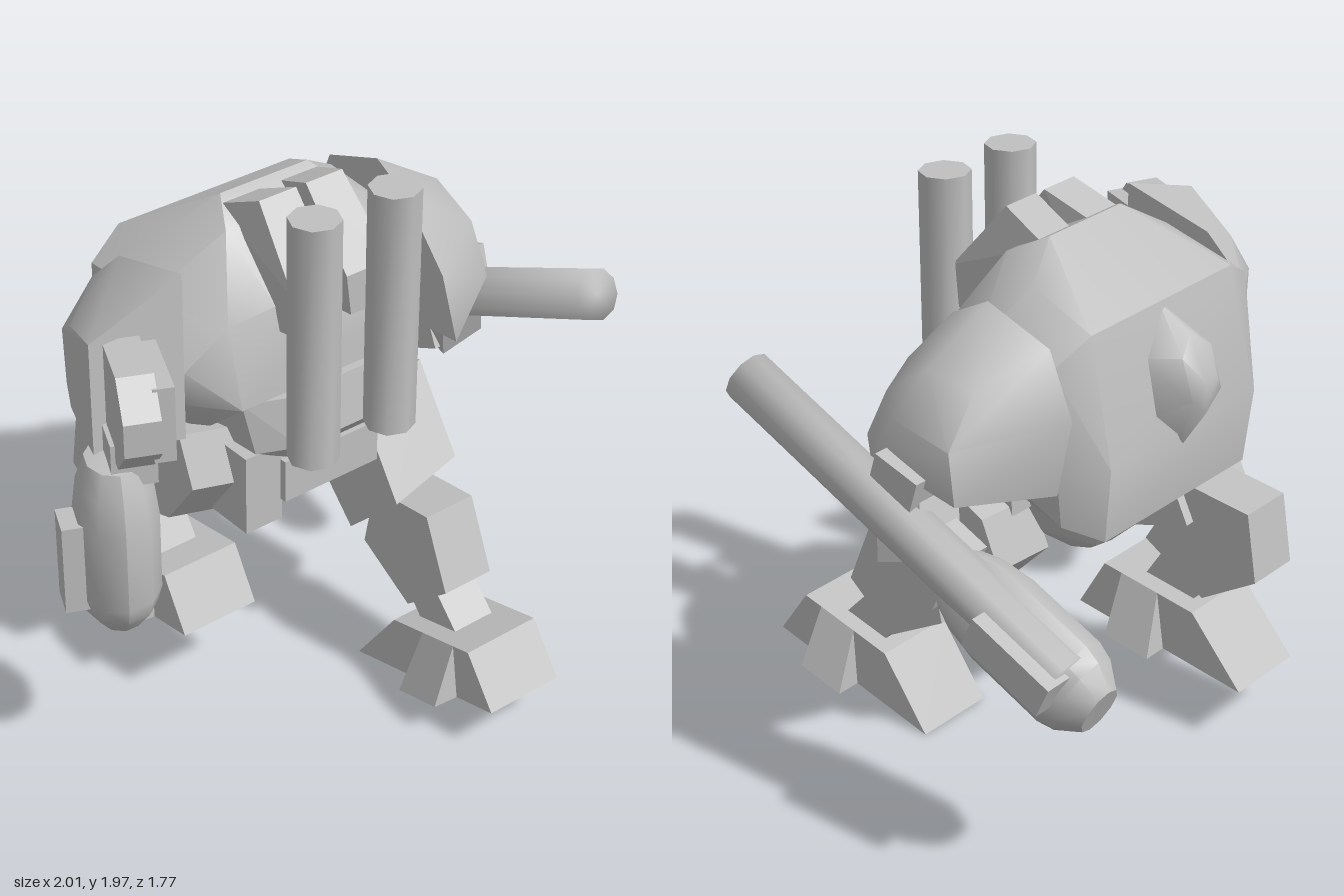
import * as THREE from 'three';
import { toCreasedNormals } from 'three/addons/utils/BufferGeometryUtils.js';
import { ConvexGeometry } from 'three/addons/geometries/ConvexGeometry.js';

const armor = new THREE.MeshStandardMaterial({ color: 0xc0c0c0, side: THREE.DoubleSide });
armor.name = 'grey armor';

function add(parent, name, geometry, x = 0, y = 0, z = 0) {
  const mesh = new THREE.Mesh(geometry, armor);
  mesh.name = name;
  mesh.position.set(x, y, z);
  parent.add(mesh);
  return mesh;
}

// Convex solid through [x, y, z] points; edges sharper than the crease stay hard
function hull(points, crease = 0.1) {
  return toCreasedNormals(new ConvexGeometry(points.map(p => new THREE.Vector3(...p))), crease);
}
const mirrored = pts => pts.flatMap(([x, y, z]) => [[x, y, z], [-x, y, z]]);

// Slab between x0 and x1 with a [z, y] side profile, optionally skewed at x1
function slab(x0, x1, profile, dz = 0, dy = 0) {
  return hull(profile.flatMap(([z, y]) => [[x0, y, z], [x1, y + dy, z + dz]]));
}

// Open-bottomed foot with flared side fins; origin at the middle of the toe edge
function footGeometry() {
  const v = [];
  const quad = (a, b, c, d) => v.push(...a, ...b, ...c, ...a, ...c, ...d);
  const w = 0.153, f = 0.245, h = 0.207;
  quad([-w, 0, 0], [w, 0, 0], [w, h, -0.083], [-w, h, -0.083]);
  quad([-w, h, -0.083], [w, h, -0.083], [w, h, -0.474], [-w, h, -0.474]);
  quad([-w, h, -0.474], [w, h, -0.474], [w, 0, -0.715], [-w, 0, -0.715]);
  for (const s of [1, -1]) {
    const P = (x, y, a) => [s * x, y, -a];
    const side = (a, b, c, d) => (s > 0 ? quad(a, b, c, d) : quad(d, c, b, a));
    side(P(w, 0, 0), P(w, 0, 0.18), P(w, h, 0.16), P(w, h, 0.083));
    side(P(w, 0, 0.38), P(w, 0, 0.715), P(w, h, 0.474), P(w, h, 0.32));
    side(P(f, 0, 0.19), P(f, 0, 0.38), P(w, h, 0.32), P(w, h, 0.16));
    side(P(w, 0, 0.18), P(f, 0, 0.19), P(w, h, 0.16), P(w, h, 0.16));
    side(P(f, 0, 0.38), P(w, 0, 0.38), P(w, h, 0.32), P(w, h, 0.32));
  }
  const g = new THREE.BufferGeometry();
  g.setAttribute('position', new THREE.Float32BufferAttribute(v, 3));
  g.computeVertexNormals();
  return g;
}

// Rounded oval forearm with a side plate; the blunt hand end points to -y
function forearm(side) {
  const g = new THREE.Group();
  g.name = side > 0 ? 'leftForearm' : 'rightForearm';
  const profile = [[0, -0.325], [0.075, -0.325], [0.125, -0.25], [0.14, -0.19], [0.14, 0.1], [0.125, 0.22], [0.095, 0.31], [0, 0.325]]
    .map(p => new THREE.Vector2(...p));
  const shell = new THREE.LatheGeometry(profile, 10).scale(1, 1, 1.22);
  add(g, 'forearmShell', toCreasedNormals(shell, 0.7));
  add(g, 'forearmPlate', new THREE.BoxGeometry(0.1, 0.33, 0.12), side * 0.14, -0.06, -0.02 - side * 0.035);
  return g;
}

function buildTorso(model) {
  add(model, 'torso', hull(mirrored([
    [0.18, 1.87, -0.13], [0.34, 1.77, -0.2], [0.25, 1.81, -0.01], [0.36, 1.68, -0.45],
    [0.5, 1.61, -0.1], [0.5, 1.6, -0.41], [0.2, 1.6, 0.18], [0.36, 1.56, 0.14],
    [0.5, 1.42, 0.09], [0.36, 1.28, 0.21], [0.15, 1.4, 0.22], [0.5, 1.28, 0.05],
    [0.38, 1.25, -0.55], [0.5, 1.22, -0.43], [0.37, 0.98, -0.52], [0.47, 1.04, -0.42], [0.36, 1.06, -0.05],
  ]), 0.55));
  add(model, 'lowerFront', hull(mirrored([
    [0.34, 1.28, 0.18], [0.2, 1.28, 0.24], [0.3, 1.08, 0.2], [0.17, 1.09, 0.27], [0.17, 1.02, 0.21], [0.32, 1.05, -0.1],
  ])));
  add(model, 'belly', hull(mirrored([
    [0.3, 1.02, -0.45], [0.24, 0.86, -0.38], [0.2, 0.79, -0.24], [0.2, 0.8, -0.02], [0.2, 0.92, 0.13],
    [0.1, 0.74, -0.24], [0.1, 0.745, -0.05], [0, 0.72, -0.1], [0, 0.73, -0.25], [0.28, 1.05, 0.05],
  ]), 0.8));
  add(model, 'backPod', hull(mirrored([
    [0, 1.67, -0.43], [0.14, 1.52, -0.44], [0.14, 1.32, -0.5], [0, 1.16, -0.52],
    [0.075, 1.54, -0.59], [0.075, 1.4, -0.635], [0, 1.6, -0.56], [0.03, 1.46, -0.65], [0, 1.33, -0.63],
  ]), 1));
  // Twin hoods and upright stacks
  for (const s of [1, -1]) {
    add(model, 'hood', hull([
      [0.02, 1.92, 0.06], [0.17, 1.92, 0.06], [0.05, 1.84, -0.13], [0.2, 1.84, -0.13],
      [0.02, 1.67, 0.27], [0.2, 1.67, 0.27], [0.04, 1.52, 0.27], [0.19, 1.52, 0.27],
      [0.04, 1.5, 0.1], [0.2, 1.5, 0.1], [0.04, 1.6, -0.1], [0.2, 1.6, -0.1],
    ].map(([x, y, z]) => [s * x, y, z])));
    add(model, 'stack', toCreasedNormals(new THREE.CylinderGeometry(0.088, 0.088, 0.89, 8), 0.9), s * 0.163, 1.53, 0.33);
  }
  // Pelvis and hip blocks
  add(model, 'pelvis', new THREE.BoxGeometry(0.68, 0.17, 0.3), 0, 0.995, 0.05);
  add(model, 'pelvisFront', new THREE.BoxGeometry(0.4, 0.16, 0.2), 0, 0.94, 0.13);
  add(model, 'hipBlock', new THREE.BoxGeometry(0.15, 0.3, 0.25), -0.27, 0.93, 0.08);
}

function buildLeg(model, side, thigh, shin, ankle, toe, pitch) {
  const leg = new THREE.Group();
  leg.name = side > 0 ? 'leftLeg' : 'rightLeg';
  add(leg, 'thigh', slab(side * 0.2, side * 0.5, thigh, -0.04, 0.05));
  add(leg, 'shin', slab(side * 0.23, side * 0.435, shin));
  add(leg, 'ankle', slab(side * 0.25, side * 0.42, ankle));
  const foot = add(leg, 'foot', footGeometry(), side * 0.33, ...toe);
  foot.rotation.x = pitch;
  model.add(leg);
}

function buildArms(model) {
  // Left shoulder, flaring from the torso to a small flat end
  add(model, 'leftShoulder', hull([
    [0.5, 1.76, -0.15], [0.5, 1.68, 0.0], [0.5, 1.67, -0.4], [0.5, 1.46, 0.2], [0.5, 1.24, 0.28],
    [0.5, 1.45, -0.49], [0.5, 1.17, -0.43], [0.75, 1.61, -0.12], [0.74, 1.58, -0.3], [0.78, 1.5, 0.03],
    [0.84, 1.45, -0.05], [0.86, 1.42, -0.3], [0.86, 1.24, -0.32], [0.84, 1.29, 0.05], [0.78, 1.32, 0.12],
  ], 1.1));
  const joint = add(model, 'leftElbow', new THREE.BoxGeometry(0.17, 0.34, 0.2), 0.78, 1.13, -0.09);
  joint.rotation.set(0.35, 0, 0.35);
  const bracket = add(model, 'leftElbowBracket', new THREE.BoxGeometry(0.13, 0.14, 0.18), 0.83, 1.25, -0.09);
  bracket.rotation.x = -0.3;
  const wrist = add(model, 'leftWrist', new THREE.BoxGeometry(0.17, 0.2, 0.2), 0.81, 1.0, -0.2);
  wrist.rotation.x = 1.147;
  const arm = forearm(1);
  arm.position.set(0.81, 0.835, -0.56);
  arm.rotation.x = 1.147;
  model.add(arm);
  const barrel = add(model, 'longBarrel', toCreasedNormals(new THREE.CylinderGeometry(0.09, 0.09, 1.47, 10), 3), 0.87, 1.119, -0.107);
  barrel.rotation.x = 1.147;

  // Right shoulder with a flat front, elbow housing and hanging forearm
  add(model, 'rightShoulder', hull([
    [-0.5, 1.79, 0.09], [-0.5, 1.17, 0.09], [-0.86, 1.67, 0.09], [-0.86, 1.25, 0.09],
    [-0.5, 1.7, -0.25], [-0.5, 1.55, -0.41], [-0.5, 1.25, -0.4], [-0.72, 1.5, -0.27],
    [-0.72, 1.3, -0.26], [-0.76, 1.58, -0.16], [-0.76, 1.26, -0.18],
  ], 0.7));
  const elbow = new THREE.Group();
  elbow.name = 'rightElbow';
  elbow.position.set(-0.79, 1.48, 0.2);
  elbow.rotation.y = -0.42;
  add(elbow, 'elbowHousing', slab(-0.06, 0.06, [[-0.2, 0.1], [-0.12, 0.17], [0.1, 0.17], [0.2, 0.06], [0.2, -0.06], [0.08, -0.18], [-0.12, -0.18], [-0.2, -0.1]]));
  add(elbow, 'elbowCover', new THREE.BoxGeometry(0.07, 0.27, 0.28), 0.08, 0, 0.0);
  add(elbow, 'elbowNeck', new THREE.BoxGeometry(0.15, 0.16, 0.16), 0, -0.2, -0.04);
  model.add(elbow);
  const hanging = forearm(-1);
  hanging.position.set(-0.81, 0.945, 0.125);
  hanging.rotation.y = -0.42;
  model.add(hanging);
}

export function createModel() {
  const model = new THREE.Group();
  model.name = 'walkerRobot';
  buildTorso(model);
  buildArms(model);
  // Leading left leg and trailing right leg; profiles are [z, y]
  buildLeg(model, 1,
    [[0.14, 1.03], [0.34, 0.73], [0.1, 0.5], [-0.14, 0.75], [-0.07, 0.92]],
    [[0.46, 0.73], [0.19, 0.7], [0.14, 0.45], [0.38, 0.31], [0.57, 0.47]],
    [[0.47, 0.46], [0.3, 0.42], [0.45, 0.24], [0.62, 0.3]],
    [0.17, 0.88], -0.24);
  buildLeg(model, -1,
    [[0.09, 1.11], [0.16, 0.93], [0.02, 0.74], [-0.18, 0.68], [-0.42, 0.76], [-0.28, 1.05]],
    [[-0.38, 0.9], [-0.65, 0.87], [-0.69, 0.62], [-0.47, 0.48], [-0.22, 0.63]],
    [[-0.32, 0.65], [-0.52, 0.6], [-0.4, 0.42], [-0.2, 0.46]],
    [0.305, 0.03], -0.14);
  return model;
}
